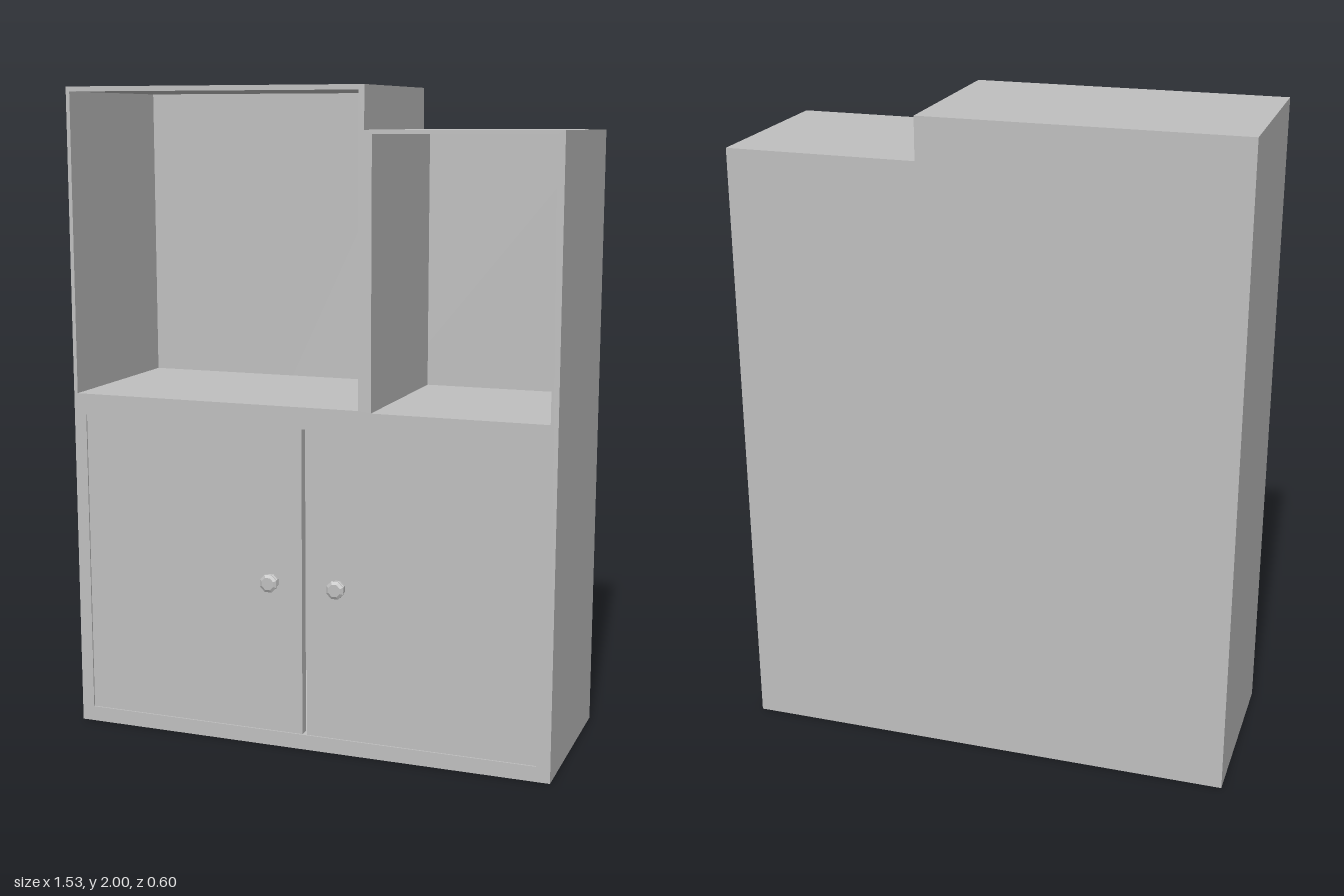
import * as THREE from 'three';

const BACK = -0.3, FRONT = 0.272, PANEL = 0.008;

export function createModel() {
  const group = new THREE.Group();
  const grey = new THREE.MeshStandardMaterial({ color: 0xbfbfbf });
  grey.name = 'grey';

  const add = (geometry, name, x = 0, y = 0, z = 0) => {
    const mesh = new THREE.Mesh(geometry, grey);
    mesh.name = name;
    mesh.position.set(x, y, z);
    group.add(mesh);
    return mesh;
  };
  const outline = () => new THREE.Shape([
    [-0.765, 0], [0.765, 0], [0.765, 1.873], [0.187, 1.873], [0.187, 2], [-0.765, 2],
  ].map(([x, y]) => new THREE.Vector2(x, y)));
  const opening = (x0, y0, x1, y1) => new THREE.Path([
    [x0, y0], [x0, y1], [x1, y1], [x1, y0],
  ].map(([x, y]) => new THREE.Vector2(x, y)));
  const extrude = (shape, depth) =>
    new THREE.ExtrudeGeometry(shape, { depth, bevelEnabled: false });

  // Stepped carcass with two open compartments and a cupboard bay
  const carcass = outline();
  carcass.holes.push(
    opening(-0.753, 1.065, 0.17, 1.985),
    opening(0.21, 1.06, 0.742, 1.862),
    opening(-0.725, 0.047, 0.723, 0.999),
  );
  add(extrude(carcass, FRONT - BACK - PANEL), 'carcass', 0, 0, BACK + PANEL);
  add(extrude(outline(), PANEL), 'backPanel', 0, 0, BACK);

  // Inset doors with a narrow gap between them
  const doorDepth = 0.03;
  for (const [name, x0, x1] of [['rightDoor', -0.725, -0.009], ['leftDoor', 0.006, 0.723]]) {
    add(new THREE.BoxGeometry(x1 - x0, 0.952, doorDepth), name,
      (x0 + x1) / 2, 0.523, FRONT - 0.005 - doorDepth / 2);
  }

  // Faceted knobs: foot, waist and flared cap
  const profile = [
    [0.024, -0.006], [0.024, 0.004], [0.016, 0.011], [0.018, 0.015],
    [0.029, 0.02], [0.029, 0.025], [0.02, 0.03], [0, 0.03],
  ].map(([r, h]) => new THREE.Vector2(r, h));
  const knob = new THREE.LatheGeometry(profile, 8).toNonIndexed();
  knob.rotateY(Math.PI / 8).rotateX(Math.PI / 2);
  knob.computeVertexNormals();
  add(knob, 'rightKnob', -0.107, 0.523, FRONT);
  add(knob, 'leftKnob', 0.107, 0.523, FRONT);

  return group;
}
